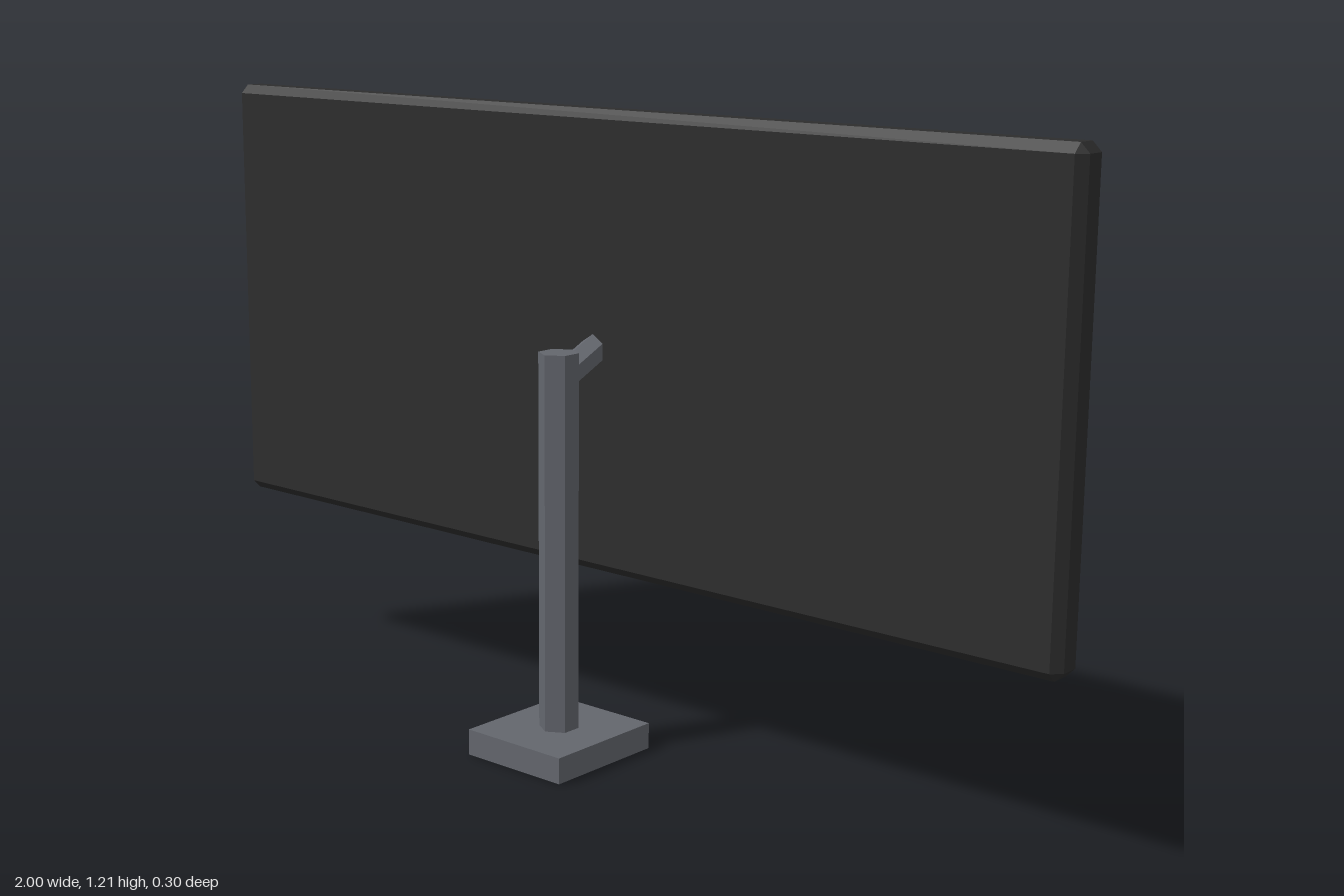
import * as THREE from 'three';
import { ConvexGeometry } from 'three/addons/geometries/ConvexGeometry.js';

const material = (name, color) => {
  const m = new THREE.MeshStandardMaterial({ color, flatShading: true });
  m.name = name;
  return m;
};

// Box with every edge and corner cut at 45 degrees
function chamferedBox(w, h, d, c) {
  const points = [];
  for (const sx of [-1, 1]) for (const sy of [-1, 1]) for (const sz of [-1, 1]) {
    for (let axis = 0; axis < 3; axis++) {
      const inset = [c, c, c];
      inset[axis] = 0;
      points.push(new THREE.Vector3(
        sx * (w / 2 - inset[0]), sy * (h / 2 - inset[1]), sz * (d / 2 - inset[2])));
    }
  }
  return new ConvexGeometry(points);
}

export function createModel() {
  const group = new THREE.Group();
  group.name = 'monitor';
  const casing = material('black casing', 0x2d2d2d);
  const metal = material('grey metal', 0x63666d);
  const blue = material('blue screen', 0x3262b4);

  const add = (name, geometry, mat, x, y, z) => {
    const mesh = new THREE.Mesh(geometry, mat);
    mesh.name = name;
    mesh.position.set(x, y, z);
    group.add(mesh);
    return mesh;
  };

  // Stand: square foot and hexagonal post
  add('base', new THREE.BoxGeometry(0.23, 0.05, 0.254), metal, 0, 0.025, 0.022);
  add('post', new THREE.CylinderGeometry(0.038, 0.038, 0.73, 6), metal, 0, 0.405, 0.023);

  // Hexagonal arm sloping up from the post into the casing
  const start = new THREE.Vector3(0, 0.72, 0.018);
  const end = new THREE.Vector3(0, 0.774, -0.1);
  const dir = end.clone().sub(start);
  const mid = start.clone().add(end).multiplyScalar(0.5);
  const arm = add('arm', new THREE.CylinderGeometry(0.028, 0.028, dir.length(), 6), metal, 0, mid.y, mid.z);
  arm.quaternion.setFromUnitVectors(new THREE.Vector3(0, 1, 0), dir.normalize());

  // Display: chamfered casing with a thin screen on its far side
  add('casing', chamferedBox(2, 0.87, 0.07, 0.017), casing, 0, 0.77, -0.106);
  add('screen', new THREE.BoxGeometry(1.925, 0.798, 0.009), blue, 0, 0.77, -0.1435);

  return group;
}
